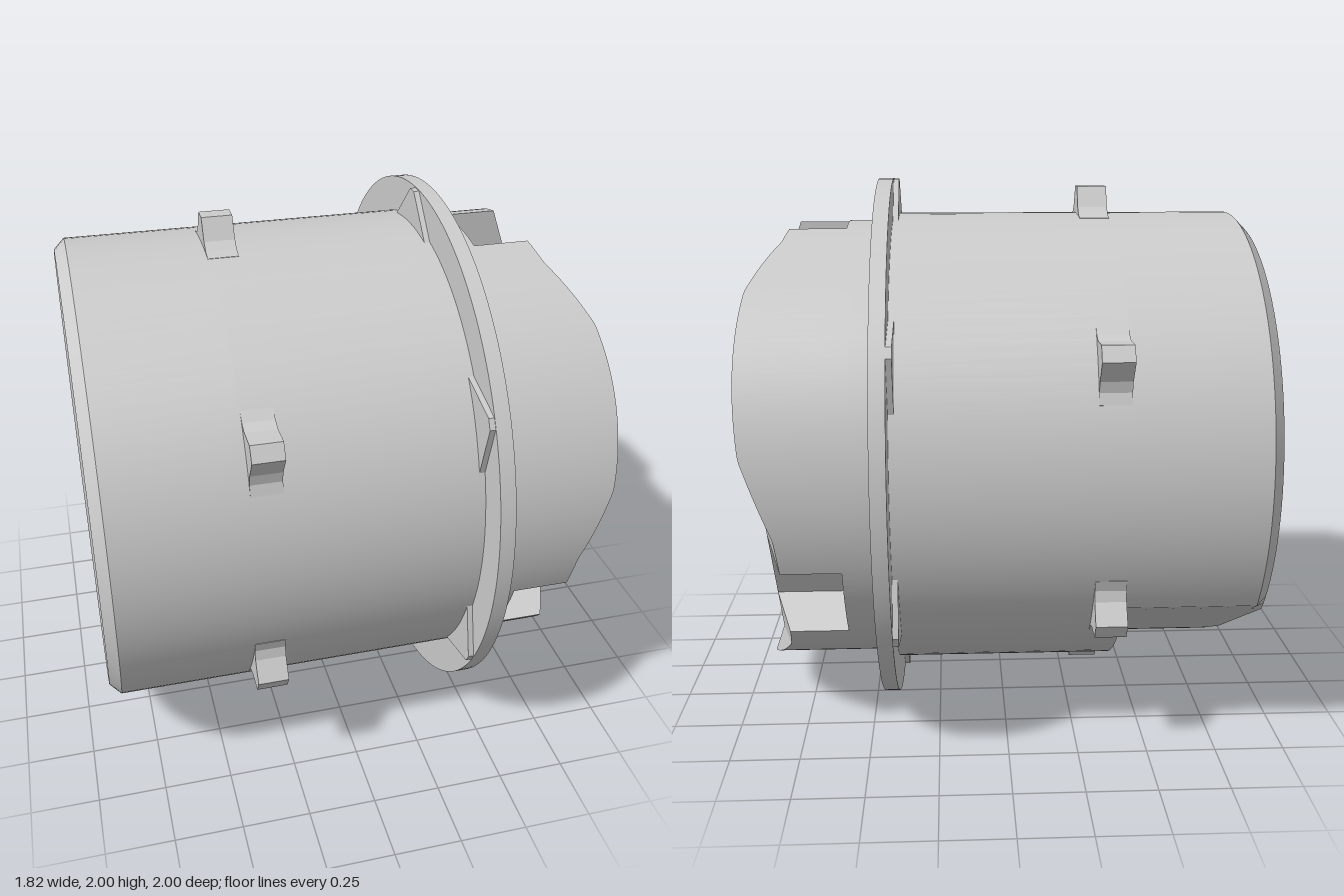
import * as THREE from 'three';
import { toCreasedNormals } from 'three/addons/utils/BufferGeometryUtils.js';

const material = new THREE.MeshStandardMaterial({ color: 0xcccccc, side: THREE.DoubleSide });
const DEG = Math.PI / 180;
const CAP_R = 0.843, HEX = 0.65, FACE = 0.84, FLOOR = 0.57, SLOT = 0.165, BED = 0.53;

// Everything is built along local +z, which is turned to world +x at the end.
function add(parent, name, geometry) {
  const mesh = new THREE.Mesh(geometry, material);
  mesh.name = name;
  parent.add(mesh);
  return mesh;
}

function lathe(points, segments) {
  return new THREE.LatheGeometry(points.map(p => new THREE.Vector2(...p)), segments).rotateX(Math.PI / 2);
}

function slab(shape, from, to) {
  const g = new THREE.ExtrudeGeometry(shape, { depth: to - from, bevelEnabled: false });
  return g.translate(0, 0, from);
}

function polygon(points) {
  return new THREE.Shape(points.map(p => new THREE.Vector2(...p)));
}

// Rounded closed outline
function roundedPath(points, radius) {
  const path = new THREE.Path();
  const v = points.map(p => new THREE.Vector2(...p));
  v.forEach((p, i) => {
    const prev = v[(i + v.length - 1) % v.length], next = v[(i + 1) % v.length];
    const a = prev.clone().sub(p).setLength(radius).add(p);
    const b = next.clone().sub(p).setLength(radius).add(p);
    if (i === 0) path.moveTo(a.x, a.y); else path.lineTo(a.x, a.y);
    path.quadraticCurveTo(p.x, p.y, b.x, b.y);
  });
  path.closePath();
  return path;
}

// Barrel with a chamfered rear edge and a flat milled on one side of the rear
function barrelGeometry() {
  const rings = [[0, -0.91], [0.83, -0.91], [0.87, -0.87], [0.87, -0.4], [0.87, -0.4], [0.87, 0.41]];
  const g = lathe(rings, 120);
  const pos = g.attributes.position;
  const nx = Math.cos(-60 * DEG), ny = Math.sin(-60 * DEG);
  for (let i = 0; i < pos.count; i++) {
    const over = pos.getX(i) * nx + pos.getY(i) * ny - 0.755;
    if (i % rings.length < 4 && over > 0) {
      pos.setXY(i, pos.getX(i) - over * nx, pos.getY(i) - over * ny);
    }
  }
  return toCreasedNormals(g, 0.4);
}

// Height of the end face: flat hexagon, edges tilted alternately up and down
function faceHeight(x, y) {
  let h = FACE;
  for (let k = 0; k < 6; k++) {
    const a = (30 + 60 * k) * DEG;
    const d = x * Math.cos(a) + y * Math.sin(a) - HEX;
    h += (k % 2 ? -1 : 1) * 0.35 * Math.max(0, d);
  }
  return h;
}

// Ring around the hexagon: tilted faces, outer wall and three open slots
function capRingGeometry() {
  const positions = [], index = [];
  const rows = 5, half = CAP_R / 2, steps = 40;
  let columns = 0;

  function column(angle, t, slot) {
    const c = Math.cos(angle), s = Math.sin(angle), m = Math.abs(t) * Math.sqrt(3);
    const rim = Math.sqrt(CAP_R * CAP_R - t * t);
    const inner = Math.min(rim, Math.max(HEX, m));
    const crease = Math.min(rim, Math.max(inner, 2 * HEX - m));
    const profile = slot
      ? [[HEX, FACE], [HEX, BED], [HEX, BED], [rim, BED], [rim, 0.45]]
      : [[inner], [crease], [rim], [rim, BED], [rim, 0.45]];
    for (const [d, z] of profile) {
      const x = d * c - t * s, y = d * s + t * c;
      positions.push(x, y, z ?? faceHeight(x, y));
    }
    columns++;
  }

  for (let k = 0; k < 6; k++) {
    const angle = (30 + 60 * k) * DEG;
    const ts = [-0.3753, 0.3753, -SLOT, SLOT];
    for (let i = 0; i <= steps; i++) ts.push(half * Math.sin((i / steps * 60 - 30) * DEG) * 2);
    ts.sort((a, b) => a - b);
    for (const t of ts) {
      const edge = k % 2 === 1 && Math.abs(t) === SLOT;
      const inSlot = k % 2 === 1 && Math.abs(t) < SLOT;
      if (edge) {
        column(angle, t, t > 0);
        column(angle, t, t < 0);
      } else column(angle, t, inSlot);
    }
  }
  for (let i = 0; i < columns; i++) {
    const n = (i + 1) % columns;
    for (let j = 0; j < rows - 1; j++) {
      const a = i * rows + j, d = n * rows + j;
      index.push(a, a + 1, d + 1, a, d + 1, d);
    }
  }
  const g = new THREE.BufferGeometry();
  g.setAttribute('position', new THREE.Float32BufferAttribute(positions, 3));
  g.setIndex(index);
  return toCreasedNormals(g, 0.3);
}

export function createModel() {
  const model = new THREE.Group();
  model.name = 'flangedPlug';
  const axis = new THREE.Group();
  axis.name = 'plugAlongAxis';
  axis.rotation.y = Math.PI / 2;
  axis.position.y = 1;
  model.add(axis);

  add(axis, 'barrel', barrelGeometry());
  add(axis, 'flange', toCreasedNormals(
    lathe([[0.8, 0.4], [1, 0.4], [1, 0.455], [0.8, 0.455]], 128), 0.4));

  // End cap: ring, flat hexagonal face and its shallow recess
  add(axis, 'capRing', capRingGeometry());
  const hexagon = [];
  for (let k = 0; k < 6; k++) {
    const r = HEX / Math.cos(30 * DEG);
    hexagon.push([r * Math.cos(k * 60 * DEG), r * Math.sin(k * 60 * DEG)]);
  }
  const face = polygon(hexagon);
  face.holes.push(roundedPath(
    [[-0.3, 0.33], [-0.3, -0.33], [-0.14, -0.43], [0.43, -0.08], [0.43, 0.08], [-0.14, 0.43]], 0.06));
  add(axis, 'capFace', slab(face, 0.77, FACE));
  add(axis, 'recessFloor', new THREE.CircleGeometry(0.52, 32)).position.z = 0.772;

  // Slot floors with two countersunk holes each
  const floor = [[-SLOT, HEX], [SLOT, HEX]];
  for (let i = 0; i <= 12; i++) {
    const t = SLOT * (1 - i / 6);
    floor.push([t, Math.sqrt(CAP_R * CAP_R - t * t)]);
  }
  const floorShape = polygon(floor);
  for (const t of [-0.083, 0.083]) {
    floorShape.holes.push(new THREE.Path().absarc(t, 0.695, 0.044, 0, Math.PI * 2, true));
  }
  const floorGeometry = slab(floorShape, BED, FLOOR);
  const sinkGeometry = toCreasedNormals(
    lathe([[0.044, FLOOR], [0.026, 0.55], [0.026, BED]], 24), 0.4);
  for (let k = 0; k < 3; k++) {
    const slot = new THREE.Group();
    slot.name = 'slotFloor';
    slot.rotation.z = k * 120 * DEG;
    axis.add(slot);
    add(slot, 'slotPlate', floorGeometry);
    for (const t of [-0.083, 0.083]) add(slot, 'countersink', sinkGeometry).position.set(t, 0.695, 0);
  }

  // Six lugs on the barrel and six gussets behind the flange
  const lugGeometry = slab(polygon([
    [-0.14, 0.82], [0.14, 0.82], [0.14, 0.86], [0.1, 0.87], [0.07, 0.895], [0.03, 0.97],
    [-0.03, 0.97], [-0.07, 0.895], [-0.1, 0.87], [-0.14, 0.86]]), -0.4, -0.29);
  const gussetGeometry = slab(polygon(
    [[-0.167, 0.85], [0.167, 0.85], [0.02, 0.997], [-0.02, 0.997]]), 0.38, 0.405);
  for (let k = 0; k < 6; k++) {
    add(axis, 'lug', lugGeometry).rotation.z = k * 60 * DEG;
    add(axis, 'flangeGusset', gussetGeometry).rotation.z = k * 60 * DEG;
  }
  return model;
}
